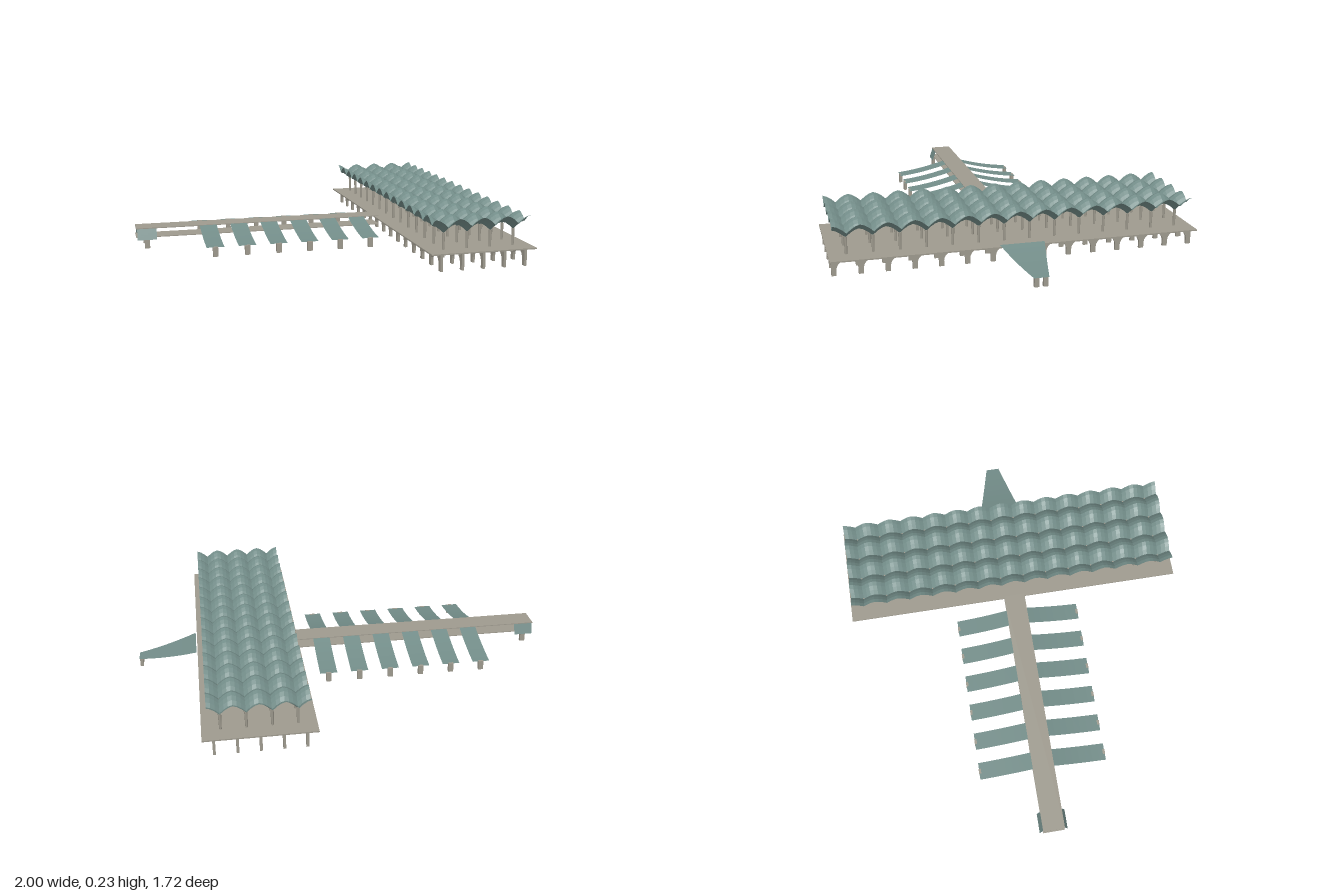
import * as THREE from 'three';

const roofMat = new THREE.MeshStandardMaterial({ color: 0x738d89, side: THREE.DoubleSide, flatShading: true });
roofMat.name = 'weathered teal roofing';
const stoneMat = new THREE.MeshStandardMaterial({ color: 0x9e9a8e });
stoneMat.name = 'warm grey stone';

const DECK_TOP = 0.082;
const BAYS_LONG = 14, BAYS_WIDE = 4;
const BAY_L = 0.1175, BAY_W = 0.1115;

function add(parent, name, geometry, material, x = 0, y = 0, z = 0) {
  const mesh = new THREE.Mesh(geometry, material);
  mesh.name = name;
  mesh.position.set(x, y, z);
  parent.add(mesh);
  return mesh;
}

// Horizontal sheet whose vertices are moved by a rule (x, z) -> [x, y, z]
function sheet(width, depth, segX, segZ, rule) {
  const g = new THREE.PlaneGeometry(width, depth, segX, segZ).rotateX(-Math.PI / 2);
  const p = g.attributes.position;
  for (let i = 0; i < p.count; i++) p.setXYZ(i, ...rule(p.getX(i), p.getZ(i)));
  g.computeVertexNormals();
  return g;
}

// Sagging strip running out along +z from (z0, y0) to (z1, y1)
function saggingStrip(z0, y0, z1, y1, w0, w1, sag) {
  return sheet(1, 1, 1, 8, (x, z) => {
    const t = z + 0.5;
    const y = y0 + (y1 - y0) * t - sag * 4 * t * (1 - t);
    return [x * (w0 + (w1 - w0) * t), y, z0 + (z1 - z0) * t];
  });
}

// Arcade wall with open arches, running along z
function arcadeGeometry() {
  const half = (BAYS_LONG * BAY_L) / 2, top = DECK_TOP - 0.006;
  const post = 0.011, spring = 0.026, r = BAY_L / 2 - post;
  const s = new THREE.Shape();
  s.moveTo(-half - post, 0);
  for (let i = 0; i < BAYS_LONG; i++) {
    const c = -half + (i + 0.5) * BAY_L;
    s.lineTo(c - r, 0);
    for (let k = 0; k <= 10; k++) {
      const a = Math.PI * (1 - k / 10);
      s.lineTo(c + Math.cos(a) * r, spring + Math.sin(a) * 0.043);
    }
    s.lineTo(c + r, 0);
  }
  s.lineTo(half + post, 0);
  s.lineTo(half + post, top);
  s.lineTo(-half - post, top);
  const g = new THREE.ExtrudeGeometry(s, { depth: 0.012, bevelEnabled: false });
  return g.translate(0, 0, -0.006).rotateY(-Math.PI / 2);
}

// Inverted umbrella: low at the column, rising to the corners
function umbrellaGeometry() {
  const rise = t => 1 - Math.pow(1 - Math.min(1, Math.abs(t)), 1.6);
  return sheet(BAY_W, BAY_L, 6, 6, (x, z) =>
    [x, 0.157 + 0.036 * (rise(x / BAY_W * 2) + rise(z / BAY_L * 2)), z]);
}

function createHall() {
  const hall = new THREE.Group();
  hall.name = 'mainHall';
  add(hall, 'deck', new THREE.BoxGeometry(0.5, 0.006, 1.685), stoneMat, 0, DECK_TOP - 0.003, 0);

  const arcade = arcadeGeometry();
  for (let i = 0; i < 5; i++) add(hall, 'arcade', arcade, stoneMat, (i - 2) * 0.1, 0, 0);

  const umbrella = umbrellaGeometry();
  const column = new THREE.CylinderGeometry(0.0075, 0.0055, 0.08, 8);
  for (let i = 0; i < BAYS_WIDE; i++) {
    for (let j = 0; j < BAYS_LONG; j++) {
      const x = (i - (BAYS_WIDE - 1) / 2) * BAY_W;
      const z = (j - (BAYS_LONG - 1) / 2) * BAY_L;
      add(hall, 'roofUmbrella', umbrella, roofMat, x, 0, z);
      add(hall, 'roofColumn', column, stoneMat, x, DECK_TOP + 0.039, z);
    }
  }
  return hall;
}

function createPier() {
  const pier = new THREE.Group();
  pier.name = 'pier';
  const start = -1.464, end = -0.245, len = end - start;
  for (const y of [0.098, 0.055]) {
    add(pier, y > 0.08 ? 'pierRoof' : 'pierFloor',
      new THREE.BoxGeometry(len, 0.004, 0.105), stoneMat, (start + end) / 2, y - 0.002, 0);
  }

  // Drooping side canopies, each resting on a post at its tip
  const wing = saggingStrip(0.05, 0.097, 0.312, 0.045, 0.083, 0.083, 0.007);
  const endFlap = saggingStrip(0.05, 0.097, 0.068, 0.042, 0.092, 0.092, 0);
  const post = new THREE.BoxGeometry(0.024, 0.046, 0.016);
  for (const turn of [0, Math.PI]) {
    const dir = turn ? -1 : 1;
    for (let i = 0; i < 6; i++) {
      const x = -1.118 + i * 0.1505;
      add(pier, 'sideCanopy', wing, roofMat, x).rotation.y = turn;
      add(pier, 'canopyPost', post, stoneMat, x, 0.023, dir * 0.306);
    }
    add(pier, 'endCanopy', endFlap, roofMat, -1.413).rotation.y = turn;
    add(pier, 'endPost', post, stoneMat, -1.413, 0.023, dir * 0.056);
  }
  return pier;
}

function createEntrance() {
  const entrance = new THREE.Group();
  entrance.name = 'entranceCanopy';
  // Tapering canopy running out along +x
  const g = saggingStrip(0.255, 0.094, 0.535, 0.042, 0.205, 0.066, 0.007);
  add(entrance, 'canopySheet', g, roofMat).rotation.y = Math.PI / 2;
  for (const s of [-1, 1]) {
    add(entrance, 'entrancePost', new THREE.BoxGeometry(0.016, 0.042, 0.02), stoneMat, 0.525, 0.021, s * 0.02);
  }
  return entrance;
}

export function createModel() {
  const model = new THREE.Group();
  model.name = 'terminalBuilding';
  const site = new THREE.Group();
  site.name = 'site';
  site.position.set(0.465, 0, 0);
  site.rotation.y = -0.072;
  site.add(createHall(), createPier(), createEntrance());
  model.add(site);
  return model;
}
